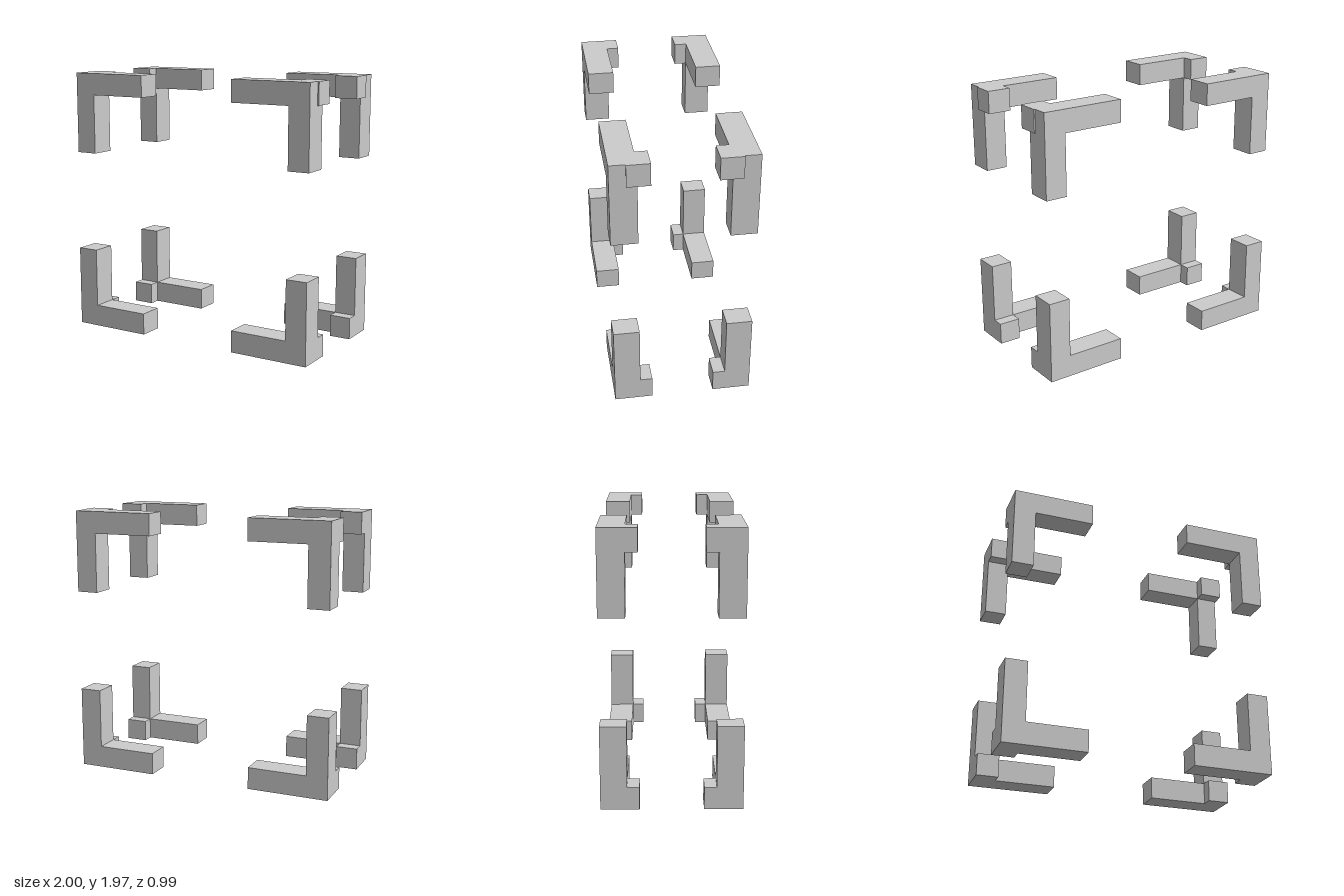
import * as THREE from 'three';

const material = new THREE.MeshStandardMaterial({ color: 0xcccccc, flatShading: true });
const TOP = 1.967, LENGTH = 0.606, THICK = 0.163;
const Z_OUT = 0.497, Z_IN = 0.311, Z_STUB = 0.224;

// Box given by its opposite corners on each axis
function box(name, [x0, x1], [y0, y1], [z0, z1]) {
  const geo = new THREE.BoxGeometry(Math.abs(x1 - x0), Math.abs(y1 - y0), Math.abs(z1 - z0));
  const mesh = new THREE.Mesh(geo, material);
  mesh.name = name;
  mesh.position.set((x0 + x1) / 2, (y0 + y1) / 2, (z0 + z1) / 2);
  return mesh;
}

// L-shaped plate: upright post plus horizontal beam, in one solid
function angle(outer, inner, post, upper) {
  const y0 = upper ? TOP : 0, dir = upper ? -1 : 1;
  const yBeam = y0 + dir * THICK, yEnd = y0 + dir * LENGTH;
  const shape = new THREE.Shape([
    [outer, y0], [inner, y0], [inner, yBeam], [post, yBeam], [post, yEnd], [outer, yEnd],
  ].map(([x, y]) => new THREE.Vector2(x, y)));
  const geo = new THREE.ExtrudeGeometry(shape, { depth: Z_OUT - Z_IN, bevelEnabled: false });
  const mesh = new THREE.Mesh(geo, material);
  mesh.name = 'cornerAngle';
  return mesh;
}

// outer end, beam end, post inner face, stub outer face
const corners = [
  { name: 'upperRight', upper: true, x: [-0.988, -0.385, -0.827, -0.988] },
  { name: 'upperLeft', upper: true, x: [0.988, 0.38, 0.828, 0.998] },
  { name: 'lowerRight', upper: false, x: [-1, -0.395, -0.838, -1] },
  { name: 'lowerLeft', upper: false, x: [0.985, 0.383, 0.824, 0.985] },
];

export function createModel() {
  const model = new THREE.Group();
  model.name = 'cornerBrackets';
  for (const { name, upper, x: [outer, inner, post, stubOuter] } of corners) {
    for (const side of [1, -1]) {
      const bracket = new THREE.Group();
      bracket.name = name + (side > 0 ? 'FrontBracket' : 'BackBracket');

      const plate = angle(outer, inner, post, upper);
      plate.position.z = side > 0 ? Z_IN : -Z_OUT;
      bracket.add(plate);

      // Short stub pointing toward the middle in depth
      const y = upper ? [TOP - THICK, TOP] : [0, THICK];
      bracket.add(box('depthStub', [post, stubOuter], y, [side * Z_STUB, side * Z_IN]));
      // Stub end lapping past the outer face of the post
      if (stubOuter !== outer) {
        bracket.add(box('stubLap', [outer, stubOuter], y, [side * Z_IN, side * 0.385]));
      }
      model.add(bracket);
    }
  }
  return model;
}
